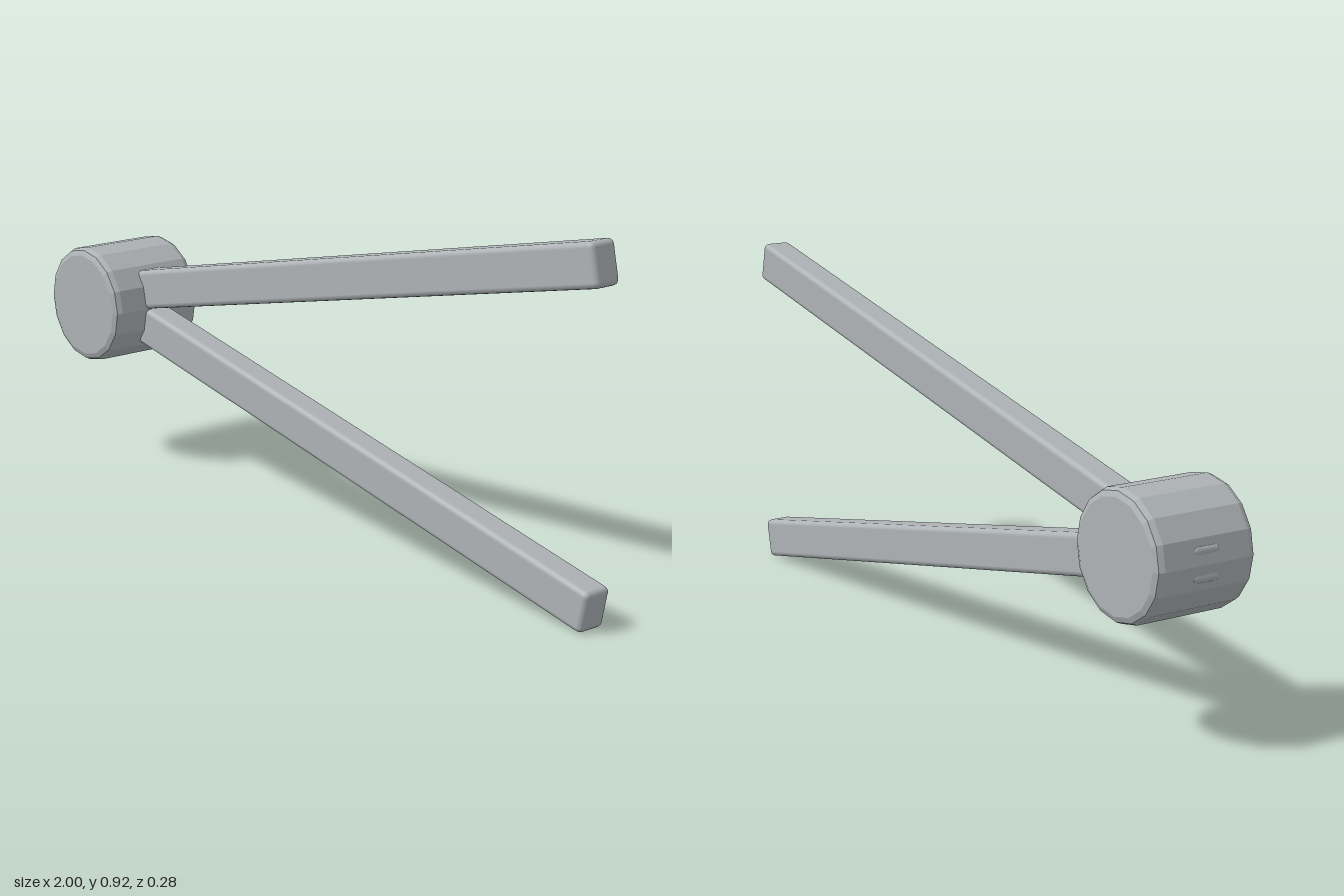
import * as THREE from 'three';
import { RoundedBoxGeometry } from 'three/addons/geometries/RoundedBoxGeometry.js';

export function createModel() {
  const model = new THREE.Group();
  model.name = 'hingedArms';
  const grey = new THREE.MeshStandardMaterial({ color: 0xaeb3b6 });
  grey.name = 'grey';
  const hubGrey = grey;
  const midY = 0.461;

  // Sixteen-sided hub with bevelled rims, lying along z
  const r = 0.16, h = 0.14, b = 0.02;
  const profile = [
    [0, -h], [r - b, -h], [r - b * 0.3, -h + b * 0.3], [r, -h + b],
    [r, h - b], [r - b * 0.3, h - b * 0.3], [r - b, h], [0, h],
  ].map(([x, y]) => new THREE.Vector2(x, y));
  const hubGeometry = new THREE.LatheGeometry(profile, 16).rotateX(Math.PI / 2).toNonIndexed();
  hubGeometry.computeVertexNormals(); // one normal per facet
  const hub = new THREE.Mesh(hubGeometry, hubGrey);
  hub.name = 'hub';
  hub.position.set(-0.84, midY, 0);
  model.add(hub);

  // Two mirrored bars that pass through the hub and splay by 12 degrees each
  const armGeometry = new RoundedBoxGeometry(2.02, 0.107, 0.08, 2, 0.014);
  for (const side of [1, -1]) {
    const arm = new THREE.Mesh(armGeometry, grey);
    arm.name = side > 0 ? 'upperArm' : 'lowerArm';
    arm.position.set(0, midY + side * 0.2, 0);
    arm.rotation.z = side * THREE.MathUtils.degToRad(12);
    model.add(arm);
  }
  return model;
}
